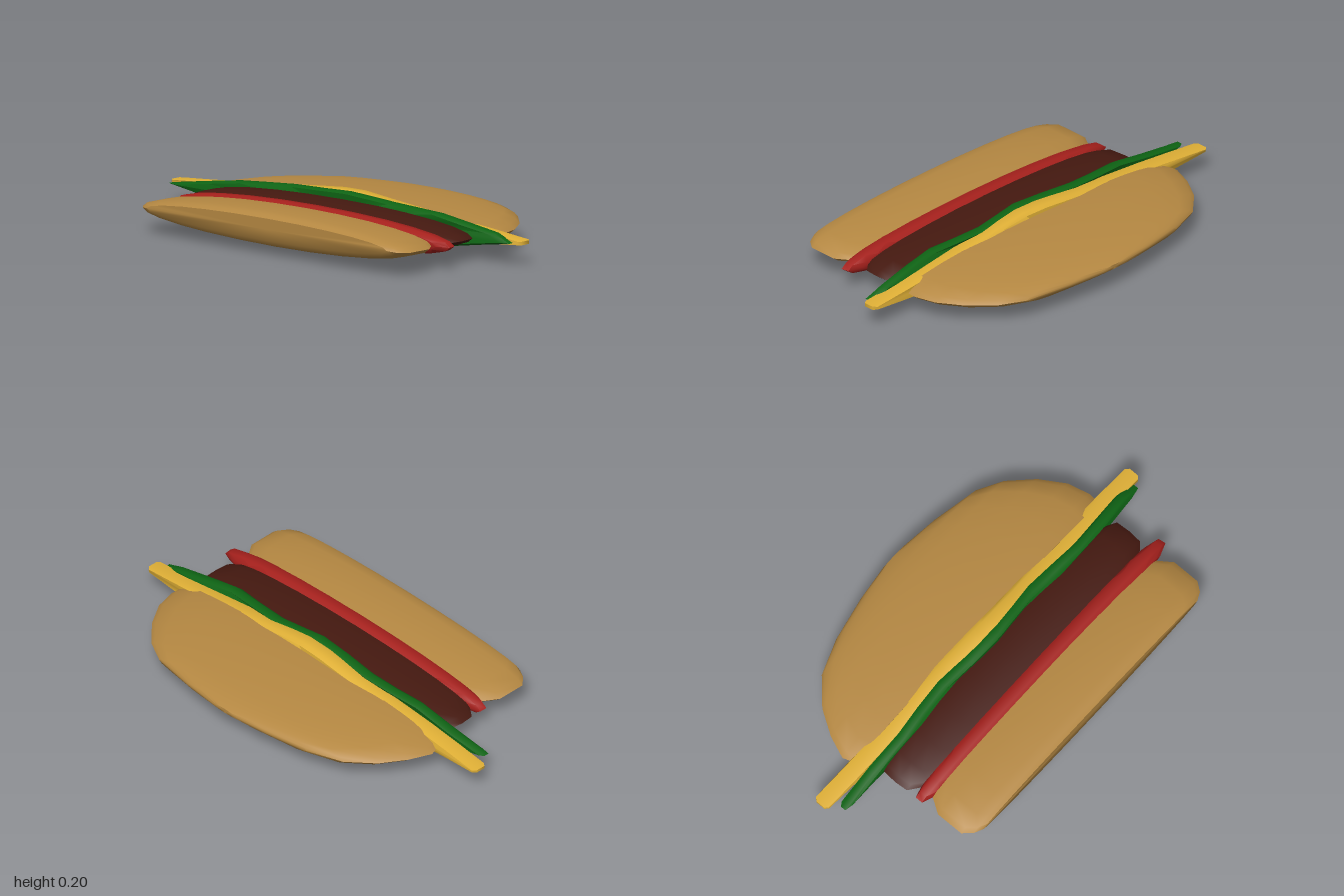
import * as THREE from 'three';
import { toCreasedNormals } from 'three/addons/utils/BufferGeometryUtils.js';

// Closed solid lofted along z; rings are [z, xMin, xMax, yMin, yMax] with z rising,
// outline is a counter-clockwise list of unit points, bend(x, y) shifts z.
function loft(name, color, outline, rings, bend = () => 0) {
  const n = outline.length, pos = [], idx = [];
  const add = (x, y, z) => pos.push(x, y, z + bend(x, y));
  for (const [z, x0, x1, y0, y1] of rings) {
    for (const [u, v] of outline) {
      add((x0 + x1) / 2 + u * (x1 - x0) / 2, (y0 + y1) / 2 + v * (y1 - y0) / 2, z);
    }
  }
  for (let i = 0; i < rings.length - 1; i++) {
    for (let j = 0; j < n; j++) {
      const a = i * n + j, b = i * n + (j + 1) % n;
      idx.push(a, b, b + n, a, b + n, a + n);
    }
  }
  // End caps
  for (const end of [0, rings.length - 1]) {
    const [z, x0, x1, y0, y1] = rings[end], c = pos.length / 3;
    add((x0 + x1) / 2, (y0 + y1) / 2, z);
    for (let j = 0; j < n; j++) {
      const a = end * n + j, b = end * n + (j + 1) % n;
      if (end) idx.push(c, a, b);
      else idx.push(c, b, a);
    }
  }
  const geo = new THREE.BufferGeometry();
  geo.setAttribute('position', new THREE.Float32BufferAttribute(pos, 3));
  geo.setIndex(idx);
  const mesh = new THREE.Mesh(toCreasedNormals(geo, 0.9), new THREE.MeshStandardMaterial({ color }));
  mesh.name = name;
  return mesh;
}

// Splits every edge of a polygon so that it can bend
function subdivide(points, parts) {
  return points.flatMap(([x, y], i) => {
    const [p, q] = points[(i + 1) % points.length];
    return Array.from({ length: parts }, (_, k) => [x + (p - x) * k / parts, y + (q - y) * k / parts]);
  });
}

export function createModel() {
  const group = new THREE.Group();
  const BUN = 0xb58842;
  const round = Array.from({ length: 24 }, (_, i) => {
    const a = i / 24 * Math.PI * 2;
    return [Math.cos(a), Math.sin(a)];
  });

  // Domed top bun
  group.add(loft('topBun', BUN, round, [
    [-0.55, -0.04, 0.10, 0.10, 0.12],
    [-0.53, -0.20, 0.28, 0.085, 0.13],
    [-0.49, -0.40, 0.49, 0.06, 0.142],
    [-0.43, -0.56, 0.60, 0.043, 0.153],
    [-0.33, -0.67, 0.70, 0.03, 0.163],
    [-0.22, -0.74, 0.77, 0.023, 0.17],
    [-0.12, -0.78, 0.795, 0.02, 0.172],
    [-0.06, -0.76, 0.79, 0.025, 0.17],
  ]));

  // Square cheese slice set corner-on, with clipped side corners
  const slice = subdivide([
    [1, -0.1], [1, 0.06], [0.5, 0.56], [0.08, 1], [-0.04, 0.98], [-0.5, 0.53],
    [-1, 0.06], [-1, -0.06], [-0.5, -0.55], [-0.05, -1], [0.1, -1], [0.5, -0.58],
  ], 3);
  group.add(loft('cheese', 0xe0b036, slice, [
    [-0.085, -0.985, 0.975, 0.01, 0.185],
    [-0.07, -1, 0.99, 0, 0.195],
    [-0.025, -1, 0.99, 0, 0.195],
    [-0.012, -0.985, 0.975, 0.005, 0.19],
  ], (x, y) => 0.012 * Math.abs(y - 0.1) / 0.1 + 0.004 * Math.sin(x * 7)));

  // Wavy lettuce leaf
  const leaf = subdivide([
    [1, -0.1], [0.91, 0.25], [0.6, 0.75], [0.3, 0.8], [0.05, 1], [-0.3, 0.82], [-0.6, 0.62],
    [-1, 0], [-0.66, -0.6], [-0.3, -0.75], [0, -1], [0.3, -0.82], [0.64, -0.68],
  ], 2);
  group.add(loft('lettuce', 0x0e6414, leaf, [
    [-0.015, -0.93, 0.93, 0.015, 0.19],
    [-0.005, -0.95, 0.95, 0.01, 0.197],
    [0.02, -0.95, 0.95, 0.01, 0.197],
    [0.033, -0.91, 0.90, 0.015, 0.19],
  ], (x) => 0.01 * Math.cos(x * 11) + (x < -0.5 ? 0.07 * (-x - 0.5) : 0)));

  // Meat patty
  group.add(loft('patty', 0x451910, round, [
    [0.02, -0.66, 0.72, 0.04, 0.16],
    [0.05, -0.71, 0.775, 0.03, 0.168],
    [0.12, -0.715, 0.78, 0.027, 0.17],
    [0.18, -0.71, 0.775, 0.03, 0.168],
    [0.225, -0.65, 0.72, 0.04, 0.16],
  ]));

  // Tomato slice
  group.add(loft('tomato', 0xa5201c, round, [
    [0.213, -0.65, 0.77, 0.04, 0.16],
    [0.23, -0.71, 0.835, 0.027, 0.173],
    [0.265, -0.71, 0.84, 0.025, 0.175],
    [0.287, -0.65, 0.78, 0.04, 0.16],
  ]));

  // Bottom bun
  group.add(loft('bottomBun', BUN, round, [
    [0.28, -0.66, 0.75, 0.035, 0.165],
    [0.35, -0.705, 0.80, 0.028, 0.175],
    [0.48, -0.705, 0.80, 0.03, 0.178],
    [0.52, -0.67, 0.77, 0.042, 0.172],
    [0.54, -0.63, 0.73, 0.065, 0.16],
  ]));
  return group;
}
